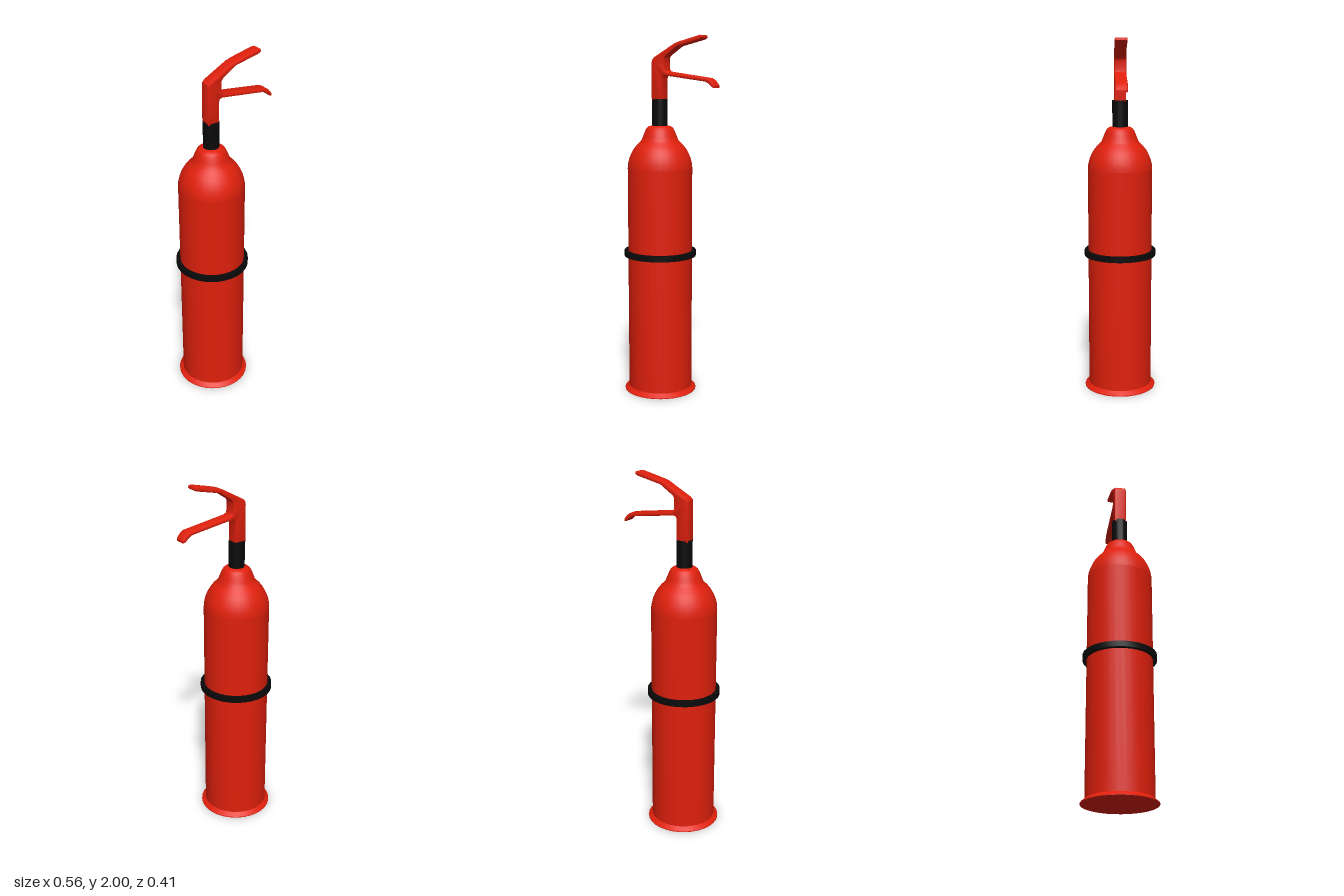
import * as THREE from 'three';
import { toCreasedNormals } from 'three/addons/utils/BufferGeometryUtils.js';

const AXIS_X = -0.08; // the tank stands off centre, the levers reach to +x

export function createModel() {
  const model = new THREE.Group();
  model.name = 'fireExtinguisher';
  const red = new THREE.MeshStandardMaterial({ color: 0xe0200c });
  const black = new THREE.MeshStandardMaterial({ color: 0x0a0a0a });

  const add = (name, geometry, material, x = 0) => {
    const mesh = new THREE.Mesh(toCreasedNormals(geometry, 0.6), material);
    mesh.name = name;
    mesh.position.x = x;
    model.add(mesh);
  };
  // Turned part from [radius, height] pairs, listed bottom to top
  const turned = (name, points, material) => add(name,
    new THREE.LatheGeometry(points.map(([r, y]) => new THREE.Vector2(r, y)), 32), material, AXIS_X);

  // Flared foot with closed underside
  turned('foot', [[0, 0], [0.203, 0], [0.203, 0.005], [0.18, 0.024]], red);

  // Straight tank wall
  turned('tank', [[0.18, 0.024], [0.18, 1.28]], red);

  // Rounded shoulder running into the neck
  turned('shoulder', [
    [0.18, 1.28], [0.178, 1.305], [0.171, 1.333], [0.16, 1.36], [0.146, 1.385],
    [0.129, 1.407], [0.112, 1.423], [0.102, 1.435], [0.094, 1.455], [0.082, 1.485],
    [0.074, 1.5], [0.062, 1.51], [0.045, 1.514], [0, 1.514],
  ], red);

  // Strap around the tank
  turned('strap', [[0.178, 0.783], [0.202, 0.783], [0.202, 0.815], [0.178, 0.815]], black);

  // Valve pipe
  turned('valvePipe', [[0, 1.505], [0.043, 1.505], [0.043, 1.66], [0, 1.66]], black);

  // Handle: stem with carrying lever above and squeeze lever below, one bevelled plate
  const outline = [
    [-0.048, 1.65], [-0.048, 1.768], [-0.044, 1.782], [-0.03, 1.788],
    [0.225, 1.757], [0.248, 1.745], [0.267, 1.727], [0.281, 1.724], [0.281, 1.738],
    [0.262, 1.762], [0.24, 1.775], [-0.015, 1.808], [-0.028, 1.815], [-0.032, 1.83],
    [-0.032, 1.88], [-0.024, 1.892], [0.052, 1.943], [0.195, 1.977], [0.207, 1.986],
    [0.204, 1.998], [0.19, 2.0], [0.06, 1.968], [0.03, 1.958], [-0.1, 1.886],
    [-0.113, 1.872], [-0.115, 1.855], [-0.115, 1.65],
  ];
  const bevel = 0.007;
  const depth = 0.066;
  const plate = new THREE.ExtrudeGeometry(
    new THREE.Shape(outline.map(([x, y]) => new THREE.Vector2(x, y))),
    { depth: depth - 2 * bevel, bevelSize: bevel, bevelThickness: bevel, bevelOffset: -bevel, bevelSegments: 2 },
  );
  plate.translate(0, 0, bevel - depth / 2);
  add('handle', plate, red);

  return model;
}
